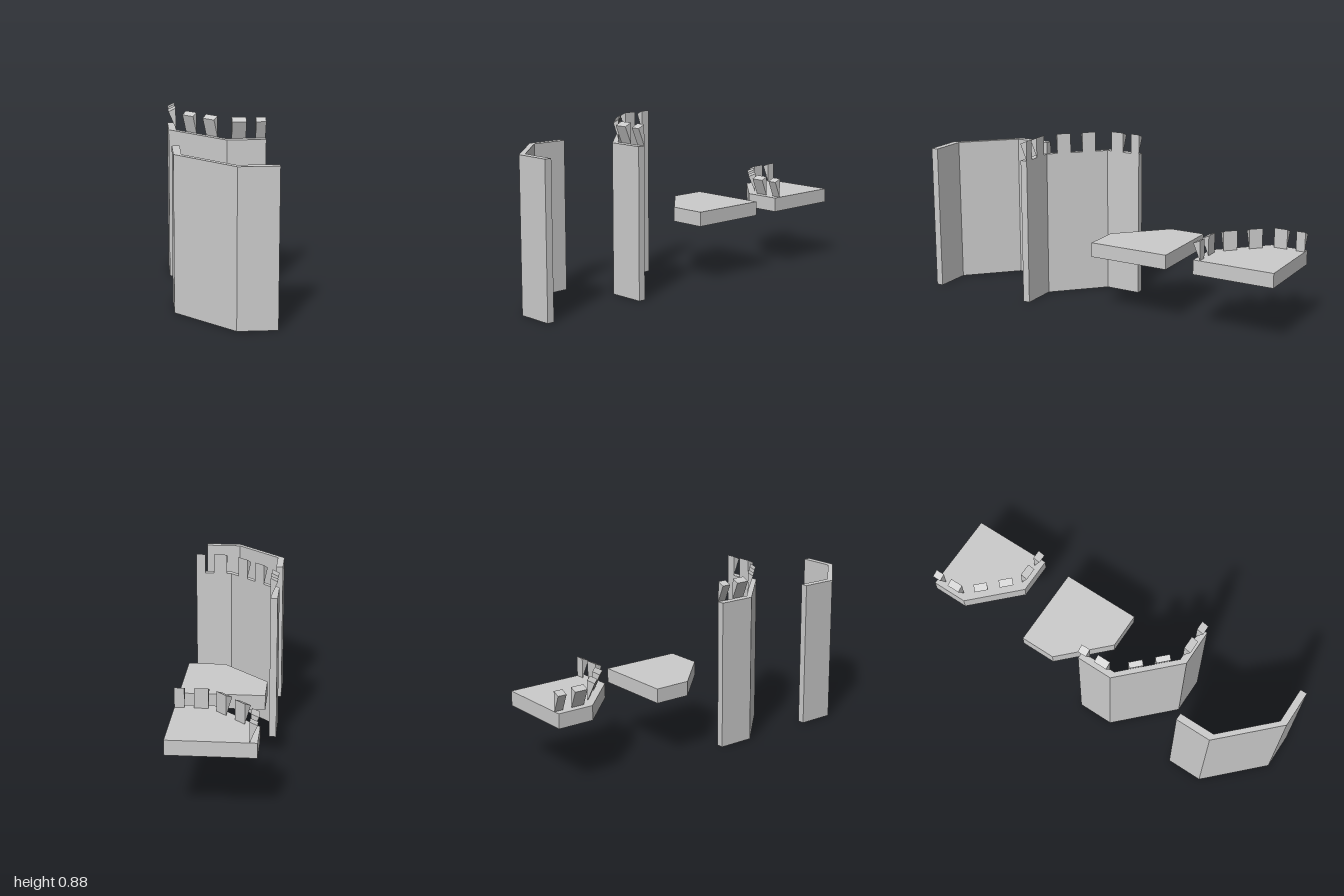
import * as THREE from 'three';

const material = new THREE.MeshStandardMaterial({ color: 0xcccccc, flatShading: true });

const T = 0.037;                    // wall thickness
const RIGHT = 0.232, BACK = -0.425; // open ends of the tower quarter
// Line shared by the floor edge and the inside of the wall, as [x, z]
const LINE = [[RIGHT, 0], [0.04, 0], [-0.195, -0.235], [-0.195, BACK]];
const OUTER = [[RIGHT, T], [0.04, T], [-0.195 - T, -0.235], [-0.195 - T, BACK]];

// Merlons as start and end points on that line, with the outward turn
const MERLONS = [
  [[0.183, 0], [RIGHT, 0], 0],
  [[0.066, 0], [0.136, 0], 0],
  [[-0.052, -0.092], [0, -0.04], -Math.PI / 4],
  [[-0.147, -0.187], [-0.097, -0.137], -Math.PI / 4],
  [[-0.195, -0.33], [-0.195, -0.26], -Math.PI / 2],
  [[-0.195, BACK], [-0.195, -0.378], -Math.PI / 2],
];

// Upright prism from a plan outline of [x, z] points
function prism(name, outline, y, height) {
  const shape = new THREE.Shape(outline.map(([x, z]) => new THREE.Vector2(x, -z)));
  const geometry = new THREE.ExtrudeGeometry(shape, { depth: height, bevelEnabled: false });
  geometry.rotateX(-Math.PI / 2);
  const mesh = new THREE.Mesh(geometry, material);
  mesh.name = name;
  mesh.position.y = y;
  return mesh;
}

// Block whose top slopes down towards the outside
function merlon([a, b, turn], y, low, high, thickness, side) {
  const width = Math.hypot(b[0] - a[0], b[1] - a[1]);
  const geometry = new THREE.BoxGeometry(width, high, thickness);
  geometry.translate(0, high / 2, 0);
  const p = geometry.attributes.position;
  for (let i = 0; i < p.count; i++) {
    if (p.getY(i) > 0 && p.getZ(i) > 0) p.setY(i, low);
  }
  geometry.computeVertexNormals();
  const mesh = new THREE.Mesh(geometry, material);
  mesh.name = 'merlon';
  const shift = side * thickness / 2;
  mesh.position.set(
    (a[0] + b[0]) / 2 + Math.sin(turn) * shift, y,
    (a[1] + b[1]) / 2 + Math.cos(turn) * shift);
  mesh.rotation.y = turn;
  return mesh;
}

function part(name, z, ...meshes) {
  const group = new THREE.Group();
  group.name = name;
  group.position.z = z;
  group.add(...meshes);
  return group;
}

export function createModel() {
  const model = new THREE.Group();
  model.name = 'towerKit';

  const wall = () => prism('wall', [...OUTER, ...LINE.slice().reverse()], 0, 0.77);
  const floor = () => prism('floor', [...LINE, [RIGHT, BACK]], 0.315, 0.075);

  // Merlons standing on the wall, thinner along the diagonal
  const wallMerlons = MERLONS.map((m) =>
    merlon(m, 0.77, 0.088, 0.105, m[2] === -Math.PI / 4 ? T * Math.SQRT1_2 : T, 1));
  // Merlons standing just inside the floor edge
  const roofMerlons = MERLONS.map((m) => merlon(m, 0.39, 0.086, 0.102, T, -1));

  model.add(
    part('plainWall', 0.963, wall()),
    part('battlementWall', 0.388, wall(), ...wallMerlons),
    part('plainFloor', 0, floor()),
    part('battlementRoof', -0.575, floor(), ...roofMerlons));
  return model;
}
